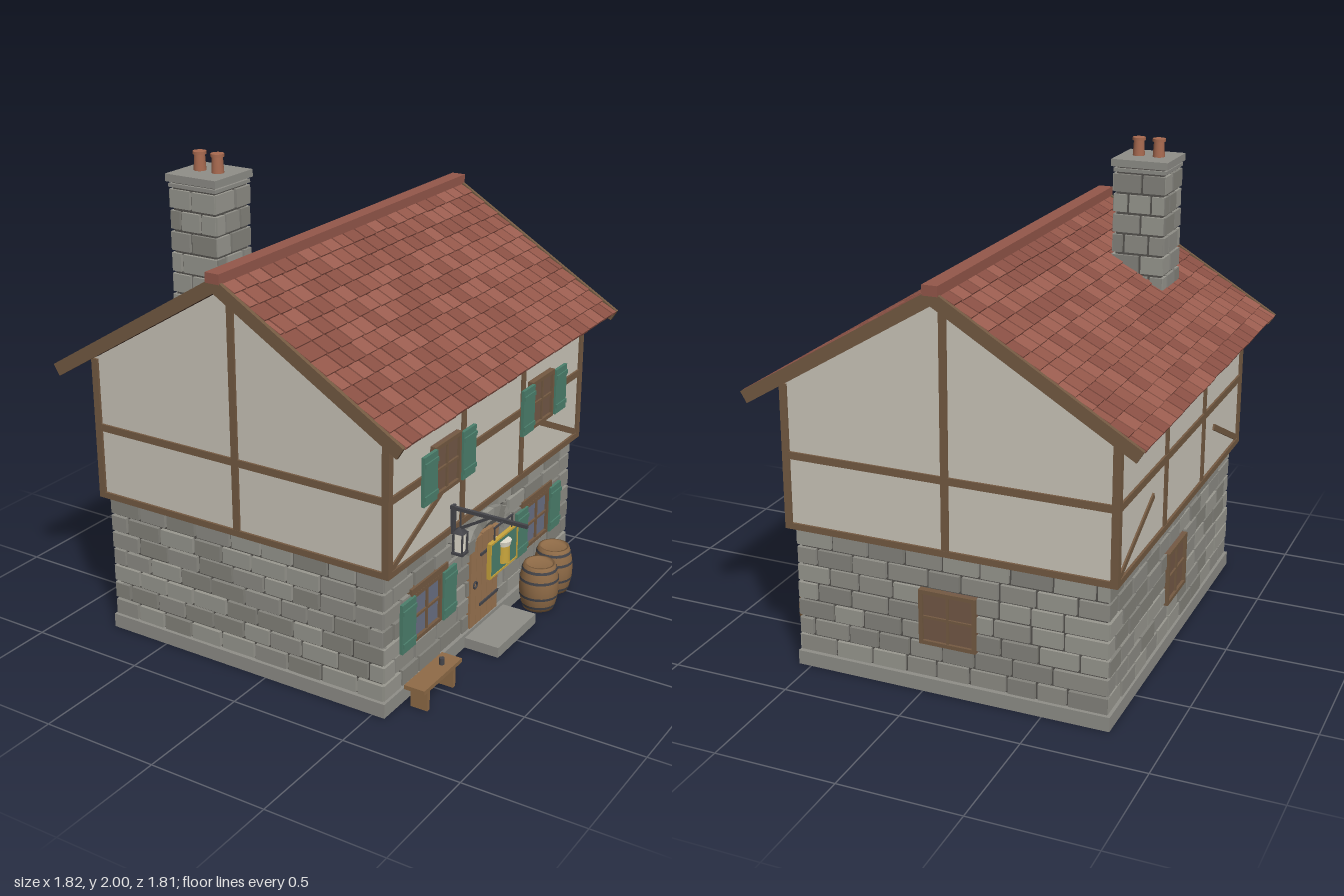
import * as THREE from 'three';
import { mergeGeometries } from 'three/addons/utils/BufferGeometryUtils.js';

const C = {
  stone: [0x8e8d86, 0x999890, 0x84837c], mortar: 0x55534f, slab: 0x8f8e88, plaster: 0xcbc6ba, timber: 0x745a42,
  tile: [0x94574a, 0x9c5e50, 0x8a5044], underlay: 0x4a3229, green: 0x4c7f6c, glass: 0x6a7084, pane: 0x735846,
  door: 0x9a7450, iron: 0x45454a, oak: 0x8f6b47, gold: 0xc9a53c, foam: 0xe4dfd0, pot: 0xa86a50,
};
const MID = -0.11; // centre line of the house in x
let seed = 7;
const rnd = () => (seed = (seed * 16807) % 2147483647) / 2147483647;

const mats = {};
const mat = (c) => (mats[c] ??= new THREE.MeshStandardMaterial({ color: c }));
function add(parent, name, geo, color, x = 0, y = 0, z = 0) {
  const m = new THREE.Mesh(geo, mat(color));
  m.name = name;
  m.position.set(x, y, z);
  parent.add(m);
  return m;
}
const box = (p, name, color, w, h, d, x, y, z) => add(p, name, new THREE.BoxGeometry(w, h, d), color, x, y, z);
const cyl = (p, name, color, r1, r2, h, x, y, z) => add(p, name, new THREE.CylinderGeometry(r1, r2, h, 16), color, x, y, z);
function group(parent, name, x = 0, y = 0, z = 0, ry = 0) {
  const g = new THREE.Group();
  g.name = name;
  g.position.set(x, y, z);
  g.rotation.y = ry;
  parent.add(g);
  return g;
}
// straight beam between two points of a wall plane
function beam(p, name, color, x1, y1, x2, y2, z, t, d) {
  const m = box(p, name, color, Math.hypot(x2 - x1, y2 - y1), t, d, (x1 + x2) / 2, (y1 + y2) / 2, z);
  m.rotation.z = Math.atan2(y2 - y1, x2 - x1);
  return m;
}
// merge boxes into one mesh per shade
function shades(parent, name, colors, lists) {
  lists.forEach((l, i) => l.length && add(parent, name, mergeGeometries(l), colors[i]));
}

// courses of blocks on a wall plane; holes are [x0, x1, y0, y1]
function masonry(parent, half, y0, y1, rows, out, len, holes = []) {
  const lists = [[], [], []], h = (y1 - y0) / rows, gap = 0.012;
  for (let r = 0; r < rows; r++) {
    const yc = y0 + (r + 0.5) * h;
    let x = -half;
    let first = len * (r % 2 ? 0.55 : 1);
    while (x < half - 0.01) {
      let e = x + first * (0.85 + 0.35 * rnd());
      first = len;
      if (half - e < len * 0.4) e = half;
      let parts = [[x, e]];
      for (const [a, b, c, d] of holes) {
        if (yc < c || yc > d) continue;
        parts = parts.flatMap(([s, t]) => [[s, Math.min(t, a)], [Math.max(s, b), t]].filter(([i, j]) => j - i > 0.03));
      }
      for (const [s, t] of parts) {
        const d = 0.03 + 0.006 * rnd();
        const g = new THREE.BoxGeometry(t - s - gap, h - gap, d);
        lists[Math.floor(rnd() * 3)].push(g.translate((s + t) / 2, yc, out - 0.036 + d / 2));
      }
      x = e;
    }
  }
  shades(parent, 'stoneBlocks', C.stone, lists);
}

// framed window with a cross bar
function windowUnit(p, x, y, w, h, out, pane) {
  const g = group(p, 'window', x, y, out);
  box(g, 'windowPane', pane, w, h, 0.02, 0, 0, -0.012);
  for (const s of [-1, 1]) {
    box(g, 'windowJamb', C.timber, 0.016, h, 0.03, s * (w / 2 - 0.008), 0, -0.005);
    box(g, 'windowRail', C.timber, w, 0.016, 0.03, 0, s * (h / 2 - 0.008), -0.005);
  }
  box(g, 'mullion', C.timber, 0.01, h, 0.012, 0, 0, 0);
  box(g, 'crossBar', C.timber, w, 0.01, 0.012, 0, 0, 0);
  return g;
}
function shutters(p, w, h, z) {
  for (const s of [-1, 1]) {
    const g = group(p, 'shutter', s * (w / 2 + 0.048), 0, z);
    box(g, 'shutterBoard', C.green, 0.1, h, 0.014, 0, 0, 0);
    for (const t of [-1, 1]) box(g, 'shutterBatten', C.green, 0.096, 0.018, 0.008, 0, t * h * 0.33, 0.009);
  }
}

function buildWalls(house) {
  box(house, 'foundation', C.slab, 1.33, 0.06, 1.59, 0, 0.03, 0);
  box(house, 'mortarCore', C.mortar, 1.284, 0.54, 1.544, 0, 0.33, 0);
  const s = new THREE.Shape([[-0.68, 0.6], [0.68, 0.6], [0.68, 1.2], [0, 1.61], [-0.68, 1.2]].map((p) => new THREE.Vector2(...p)));
  add(house, 'plasterWalls', new THREE.ExtrudeGeometry(s, { depth: 1.6, bevelEnabled: false }), C.plaster, 0, 0, -0.8);

  const lowWin = [-0.105, 0.105, 0.22, 0.43];
  for (let i = 0; i < 4; i++) {
    const long = i % 2 === 1, doorSide = i === 1;
    const w = group(house, ['frontWall', 'leftWall', 'backWall', 'rightWall'][i], 0, 0, 0, i * Math.PI / 2);
    const half = long ? 0.79 : 0.66, out = long ? 0.66 : 0.79, up = long ? 0.69 : 0.81, upHalf = long ? 0.81 : 0.69;
    const holes = doorSide
      ? [[-0.125, 0.125, 0, 0.47], [-0.17, 0.17, 0.44, 0.53], [-0.58, -0.36, 0.2, 0.46], [0.36, 0.58, 0.2, 0.46]]
      : i ? [lowWin] : [];
    masonry(w, half - 0.001, 0.06, 0.6, 7, out, 0.145, holes);
    // timber frame
    const z = up - 0.015;
    box(w, 'sillBeam', C.timber, upHalf * 2, 0.026, 0.04, 0, 0.613, up - 0.02);
    box(w, 'midRail', C.timber, upHalf * 2 - 0.02, 0.03, 0.028, 0, 0.91, z);
    for (const e of [-1, 1]) {
      box(w, 'cornerPost', C.timber, 0.03, 0.6, 0.03, e * (upHalf - 0.015), 0.9, z);
      if (long) {
        box(w, 'post', C.timber, 0.03, 0.6, 0.026, e * 0.25, 0.9, z);
        beam(w, 'brace', C.timber, e * 0.78, 0.63, e * 0.4, 0.81, z, 0.026, 0.024);
      }
    }
    if (!long) box(w, 'gablePost', C.timber, 0.03, 1.0, 0.028, 0, 1.1, z);
    // windows
    if (doorSide) {
      for (const e of [-1, 1]) {
        const low = windowUnit(w, e * 0.47, 0.325, 0.22, 0.21, 0.655, C.glass);
        shutters(low, 0.22, 0.21, 0.012);
        box(w, 'lintel', C.timber, 0.28, 0.028, 0.03, e * 0.46, 0.447, 0.652);
        const high = windowUnit(w, e * 0.4, 0.915, 0.2, 0.21, 0.695, C.pane);
        shutters(high, 0.2, 0.2, 0.012);
      }
      buildDoor(w);
    } else if (i) windowUnit(w, 0, 0.325, 0.24, 0.23, out, C.pane);
  }
}

function buildDoor(w) {
  const g = group(w, 'door', 0, 0, 0.65);
  const n = 5, pw = 0.235 / n;
  for (let i = 0; i < n; i++) {
    const x = (i - 2) * pw, top = 0.46 - 0.003 * (i - 2) ** 2;
    box(g, 'doorPlank', C.door, pw - 0.003, top - 0.05, 0.02, x, (top + 0.05) / 2, 0);
  }
  for (const y of [0.14, 0.37]) box(g, 'strapHinge', C.iron, 0.16, 0.012, 0.008, 0.037, y, 0.012);
  add(g, 'ringHandle', new THREE.TorusGeometry(0.014, 0.004, 8, 16), C.iron, -0.085, 0.25, 0.014);
  // arch of wedge stones
  for (let i = 0; i < 9; i++) {
    const a = Math.PI * i / 8;
    const m = box(g, 'archStone', C.stone[i % 3], 0.056, 0.05, 0.05, 0.15 * Math.cos(a), 0.455 + 0.078 * Math.sin(a), 0.005);
    m.rotation.z = Math.atan2(0.15 * Math.sin(a), 0.078 * Math.cos(a)) - Math.PI / 2;
  }
  box(w, 'doorStep', C.slab, 0.335, 0.045, 0.16, 0, 0.0225, 0.74);
}

function buildRoof(house) {
  const A = Math.atan2(0.475, 0.785), L = 0.917, rows = 12, step = L / rows;
  for (const e of [0, 1]) {
    const side = group(house, 'roofSide', 0, 1.64, 0, e * Math.PI);
    const slope = group(side, 'roofSlope');
    slope.rotation.z = -A;
    box(slope, 'roofDeck', C.underlay, L - 0.01, 0.022, 1.78, L / 2, -0.005, 0);
    for (const s of [-1, 1]) box(slope, 'bargeBoard', C.timber, L + 0.015, 0.052, 0.016, L / 2, -0.002, s * 0.894);
    const lists = [[], [], []];
    for (let r = 0; r < rows; r++) {
      let z = -0.885;
      let w = r % 2 ? 0.04 : 0.08;
      while (z < 0.87) {
        const end = 0.885 - z - w < 0.03 ? 0.885 : z + w;
        const g = new THREE.BoxGeometry(step + 0.012 + 0.008 * rnd(), 0.012, end - z - 0.009);
        g.rotateZ(0.09).translate((r + 0.5) * step, 0.015, (z + end) / 2);
        lists[Math.floor(rnd() * 3)].push(g);
        z = end;
        w = 0.074 + 0.012 * rnd();
      }
    }
    shades(slope, 'roofTiles', C.tile, lists);
  }
  box(house, 'ridgeCap', C.tile[0], 0.062, 0.04, 1.81, 0, 1.665, 0);
}

function buildChimney(root) {
  const g = group(root, 'chimney', -0.452, 0, 0.46);
  box(g, 'chimneyCore', C.mortar, 0.2, 0.62, 0.2, 0, 1.58, 0);
  for (let i = 0; i < 4; i++) masonry(group(g, 'chimneySide', 0, 0, 0, i * Math.PI / 2), 0.114, 1.28, 1.87, 7, 0.116, 0.11);
  box(g, 'chimneyNeck', C.slab, 0.225, 0.014, 0.225, 0, 1.88, 0);
  box(g, 'chimneyCap', C.slab, 0.24, 0.03, 0.24, 0, 1.91, 0);
  for (const x of [-0.043, 0.043]) {
    cyl(g, 'chimneyPot', C.pot, 0.021, 0.025, 0.07, x, 1.96, 0);
    cyl(g, 'potRim', C.pot, 0.027, 0.027, 0.012, x, 1.994, 0);
  }
}

function barrel(root, x, z) {
  const g = group(root, 'barrel', x, 0, z);
  const R = (y) => 0.085 - 0.018 * ((y - 0.1025) / 0.1025) ** 2;
  const pts = [[0, 0], [R(0), 0]];
  for (let i = 1; i <= 8; i++) pts.push([R(i * 0.0256), i * 0.0256]);
  pts.push([0.058, 0.205], [0.058, 0.192], [0, 0.192]);
  add(g, 'barrelBody', new THREE.LatheGeometry(pts.map((p) => new THREE.Vector2(...p)), 20), C.oak);
  for (const y of [0.02, 0.065, 0.14, 0.185]) cyl(g, 'barrelHoop', C.iron, R(y + 0.006) + 0.002, R(y - 0.006) + 0.002, 0.012, 0, y, 0).material = new THREE.MeshStandardMaterial({ color: C.iron });
  // hoops are open bands so the barrel head stays visible
  g.children.slice(1).forEach((m) => {
    const { radiusTop, radiusBottom, height } = m.geometry.parameters;
    m.geometry = new THREE.CylinderGeometry(radiusTop, radiusBottom, height, 20, 1, true);
    m.material.side = THREE.DoubleSide;
  });
}

function buildProps(root) {
  barrel(root, 0.628, -0.495);
  barrel(root, 0.648, -0.317);
  // bench with a cup
  const b = group(root, 'bench', 0.63, 0, 0.555);
  box(b, 'benchSeat', C.oak, 0.09, 0.018, 0.29, 0, 0.1, 0);
  for (const z of [-0.1, 0.1]) box(b, 'benchLeg', C.oak, 0.075, 0.092, 0.018, 0, 0.046, z);
  box(b, 'benchStretcher', C.oak, 0.016, 0.016, 0.2, 0, 0.065, 0);
  cyl(b, 'cup', C.iron, 0.011, 0.011, 0.028, 0, 0.123, -0.065);
  // hanging sign on an iron bracket
  const s = group(root, 'sign', 0, 0, 0.335);
  box(s, 'bracketBar', C.iron, 0.335, 0.014, 0.014, 0.735, 0.708, 0);
  box(s, 'bracketPlate', C.iron, 0.012, 0.12, 0.024, 0.583, 0.66, 0);
  beam(s, 'bracketBrace', C.iron, 0.585, 0.61, 0.74, 0.703, 0, 0.01, 0.01);
  for (const z of [-0.07, 0.07]) box(s, 'signHanger', C.iron, 0.005, 0.06, 0.005, 0.8, 0.675, z);
  box(s, 'signSpreader', C.iron, 0.006, 0.006, 0.15, 0.8, 0.705, 0);
  box(s, 'signBoard', C.green, 0.01, 0.14, 0.215, 0.8, 0.58, 0);
  for (const e of [-1, 1]) {
    box(s, 'signRim', C.gold, 0.016, 0.008, 0.223, 0.8, 0.58 + e * 0.07, 0);
    box(s, 'signRim', C.gold, 0.016, 0.148, 0.008, 0.8, 0.58, e * 0.108);
  }
  cyl(s, 'mugBody', C.gold, 0.028, 0.03, 0.07, 0.8, 0.575, 0);
  cyl(s, 'mugFoam', C.foam, 0.034, 0.03, 0.02, 0.8, 0.62, 0);
  add(s, 'mugHandle', new THREE.TorusGeometry(0.02, 0.005, 8, 16), C.gold, 0.8, 0.578, 0.035).rotation.y = Math.PI / 2;
  // lantern by the wall
  const l = group(root, 'lantern', 0.615, 0, 0.335);
  box(l, 'lanternHook', C.iron, 0.005, 0.08, 0.005, 0, 0.67, 0);
  add(l, 'lanternRoof', new THREE.ConeGeometry(0.034, 0.028, 4, 1).rotateY(Math.PI / 4), C.iron, 0, 0.623, 0);
  box(l, 'lanternBase', C.iron, 0.05, 0.01, 0.05, 0, 0.524, 0);
  box(l, 'lanternGlass', C.foam, 0.03, 0.08, 0.03, 0, 0.569, 0);
  for (const x of [-1, 1]) for (const z of [-1, 1]) box(l, 'lanternPost', C.iron, 0.006, 0.085, 0.006, x * 0.02, 0.569, z * 0.02);
}

export function createModel() {
  seed = 7;
  const root = new THREE.Group();
  root.name = 'tavern';
  const house = group(root, 'house', MID);
  buildWalls(house);
  buildRoof(house);
  buildChimney(root);
  buildProps(root);
  return root;
}
